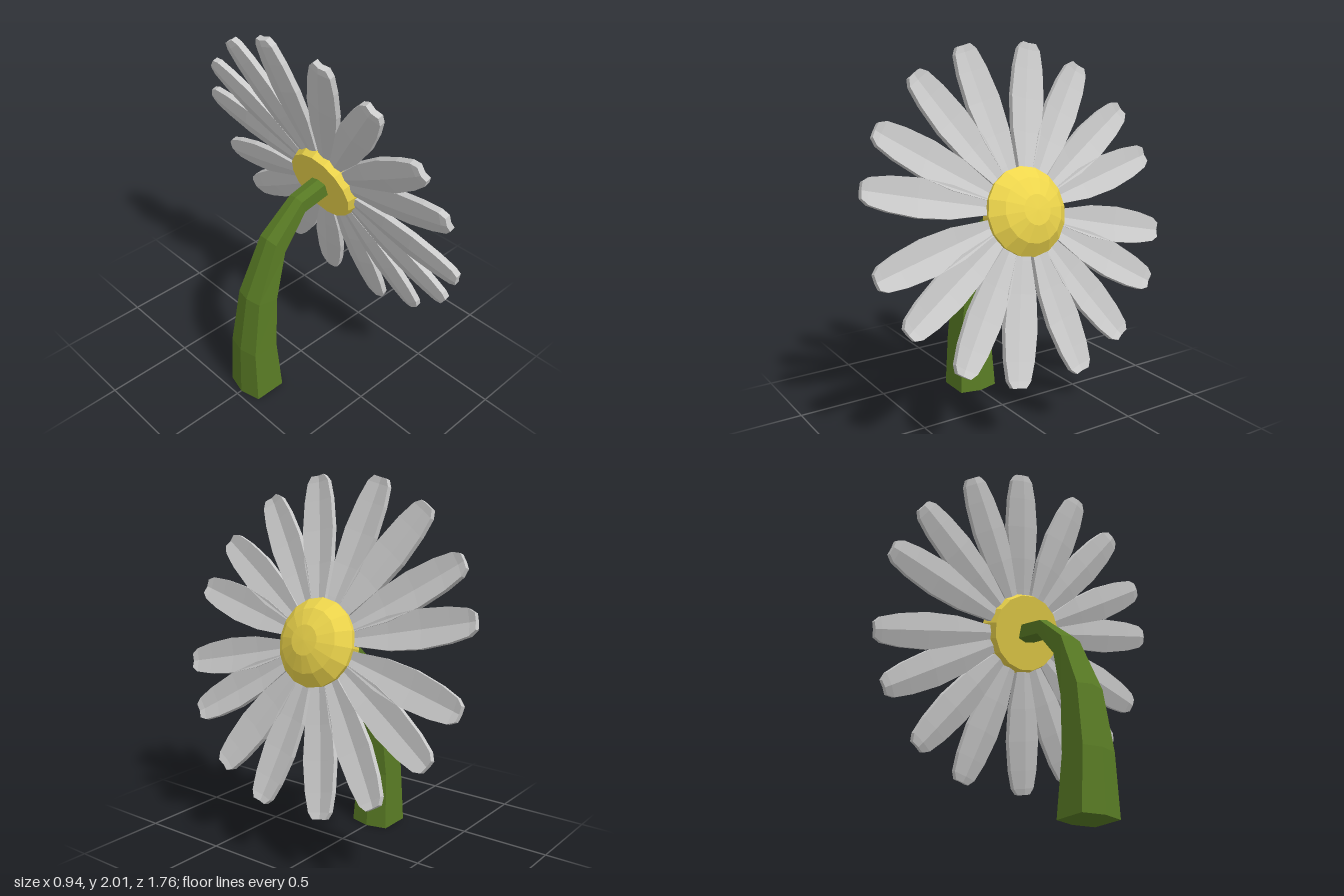
import * as THREE from 'three';

const material = (color) => new THREE.MeshStandardMaterial({ color, flatShading: true });

// Closed, capped solid through a list of rings (each counter-clockwise seen from the end).
function loft(rings) {
  const n = rings[0].length;
  const index = [];
  for (let i = 0; i < rings.length - 1; i++) {
    for (let j = 0; j < n; j++) {
      const a = i * n + j, b = i * n + (j + 1) % n;
      index.push(a, b, b + n, a, b + n, a + n);
    }
  }
  const last = (rings.length - 1) * n;
  for (let j = 1; j < n - 1; j++) {
    index.push(0, j + 1, j, last, last + j, last + j + 1);
  }
  const geometry = new THREE.BufferGeometry();
  geometry.setAttribute('position', new THREE.Float32BufferAttribute(rings.flat(2), 3));
  geometry.setIndex(index);
  const flat = geometry.toNonIndexed();
  flat.computeVertexNormals();
  return flat;
}

// Long slab petal with a shallow lengthwise crease.
function petalGeometry() {
  const outline = [[0.15, 0.03], [0.25, 0.048], [0.42, 0.085], [0.6, 0.098], [0.76, 0.086], [0.86, 0.066], [0.895, 0.04]];
  return loft(outline.map(([y, w]) => {
    const dip = w * 0.2;
    return [
      [0, y, 0.02 - dip], [w, y, 0.02], [w, y, -0.012],
      [0, y, -0.012 - dip], [-w, y, -0.012], [-w, y, 0.02],
    ];
  }));
}

// Six-sided stem, tapering and bending towards the head.
function stemGeometry() {
  // x, y, heading in degrees, radius
  const path = [
    [-0.35, 0, 90, 0.12], [-0.358, 0.32, 88, 0.102], [-0.318, 0.64, 76, 0.085],
    [-0.205, 0.93, 39, 0.065], [-0.025, 1.105, 18, 0.049], [0.14, 1.14, 17, 0.051],
  ];
  const section = [[1, 0], [0.76, 0.97], [-0.76, 0.97], [-1, 0], [-0.76, -0.97], [0.76, -0.97]];
  return loft(path.map(([x, y, degrees, r]) => {
    const a = THREE.MathUtils.degToRad(degrees);
    return section.map(([u, v]) => [x - Math.sin(a) * u * r, y + Math.cos(a) * u * r, v * r]);
  }));
}

export function createModel() {
  const model = new THREE.Group();
  model.name = 'daisy';

  const stem = new THREE.Mesh(stemGeometry(), material(0x587a24));
  stem.name = 'stem';
  model.add(stem);

  // Flower head, facing +x and tipped upwards
  const head = new THREE.Group();
  head.name = 'flowerHead';
  head.position.set(0.19, 1.16, 0);
  head.rotation.set(0, Math.PI / 2, 0.298, 'ZYX');
  model.add(head);

  // Domed centre with a flat back
  const profile = [[0, -0.055], [0.21, -0.055], [0.225, 0], [0.235, 0.045], [0.17, 0.105], [0.08, 0.138], [0, 0.142]];
  const dome = new THREE.LatheGeometry(profile.map(([r, y]) => new THREE.Vector2(r, y)), 16);
  dome.rotateX(Math.PI / 2);
  const centre = new THREE.Mesh(dome, material(0xeed64c));
  centre.name = 'flowerCentre';
  head.add(centre);

  // Sixteen petals, mirrored into four quarters
  const petals = new THREE.Group();
  petals.name = 'petals';
  const geometry = petalGeometry();
  const petalMaterial = material(0xcccccc);
  for (const degrees of [13, 34, 57, 76]) {
    for (const turn of [degrees, -degrees, 180 - degrees, 180 + degrees]) {
      const petal = new THREE.Mesh(geometry, petalMaterial);
      petal.name = 'petal';
      petal.rotation.z = THREE.MathUtils.degToRad(turn);
      petals.add(petal);
    }
  }
  head.add(petals);

  return model;
}
